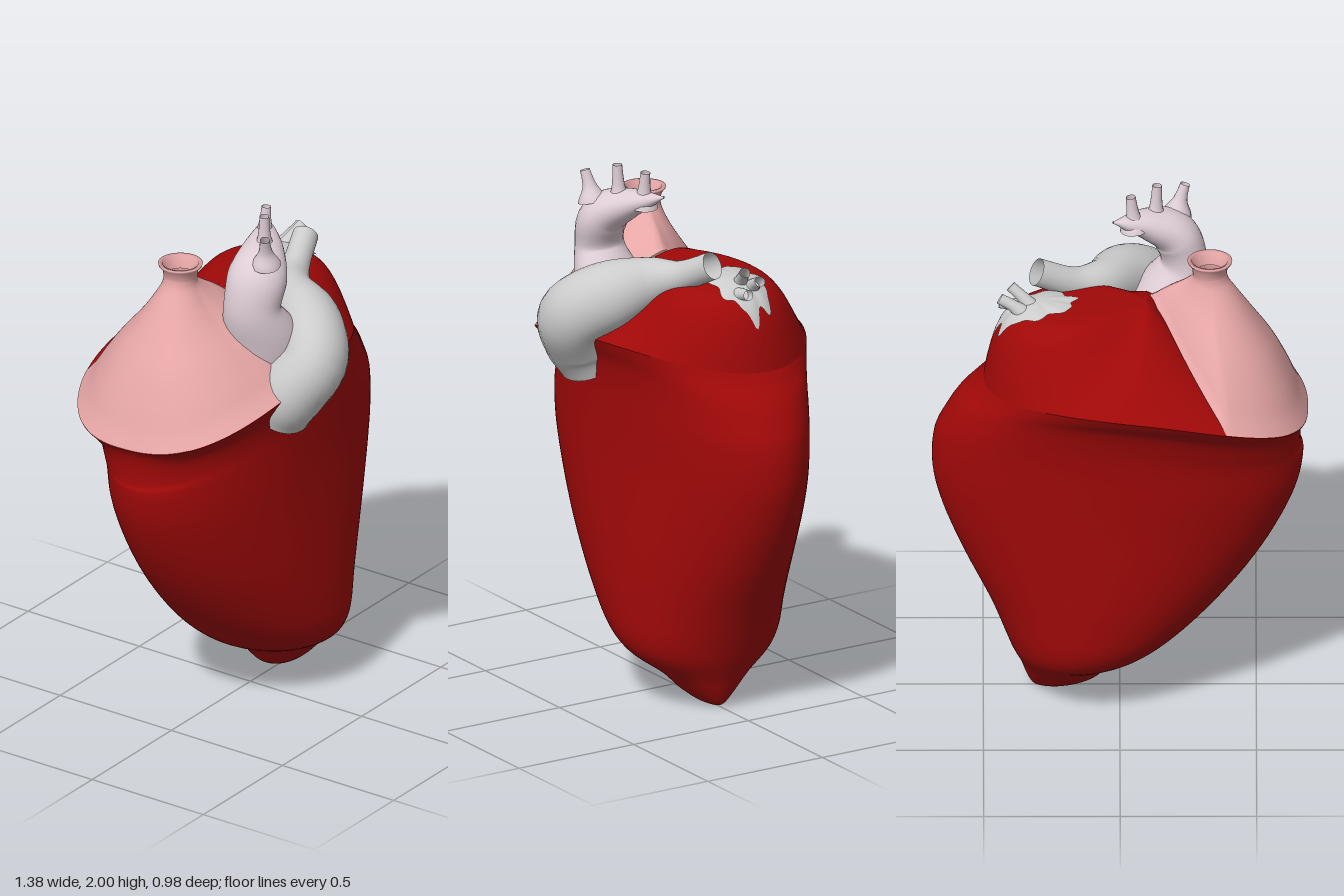
import * as THREE from 'three';

const V = (x, y, z) => new THREE.Vector3(x, y, z);
const lerp = THREE.MathUtils.lerp;
const SEG = 96;

const material = (color) => new THREE.MeshStandardMaterial({ color, side: THREE.DoubleSide, roughness: 0.7 });
const RED = material(0xa00808), PINK = material(0xe6a6a6), MAUVE = material(0xddccd4), GREY = material(0xcccccc);

// Surface through rows of points, each row a closed loop
function loft(rows) {
  const n = rows[0].length, index = [];
  for (let i = 0; i < rows.length - 1; i++) {
    for (let j = 0; j < n; j++) {
      const a = i * n + j, b = i * n + (j + 1) % n, c = a + n, d = b + n;
      index.push(a, c, b, b, c, d);
    }
  }
  const g = new THREE.BufferGeometry().setFromPoints(rows.flat());
  g.setIndex(index);
  g.computeVertexNormals();
  return g;
}

function part(name, geometry, mat) {
  const mesh = new THREE.Mesh(geometry, mat);
  mesh.name = name;
  return mesh;
}

// Tube along a smooth path, points given as [x, y, z, radius]
function vessel(name, pts, mat, { sides = 28, steps = 40, wide = 1 } = {}) {
  const path = new THREE.CatmullRomCurve3(pts.map((p) => V(p[0], p[1], p[2])));
  const radius = new THREE.SplineCurve(pts.map((p, i) => new THREE.Vector2(i, p[3])));
  const rows = [];
  for (let i = 0; i <= steps; i++) {
    const u = i / steps, p = path.getPoint(u), t = path.getTangent(u), r = radius.getPoint(u).y;
    const b = V(0.4, 0, 0.9).cross(t).normalize();
    const n = t.clone().cross(b).normalize();
    rows.push(Array.from({ length: sides }, (_, j) => {
      const a = (j / sides) * Math.PI * 2;
      return p.clone().addScaledVector(n, -Math.cos(a) * r * wide).addScaledVector(b, Math.sin(a) * r);
    }));
  }
  return part(name, loft(rows), mat);
}

// Tilted rim where the lower body meets the upper dome
const RIM = { x0: -0.69, x1: 0.5, zf: 0.36, zb: -0.49, cx: -0.1, cz: -0.07, blunt: 2.5 };
const rimY = (x, z) => 1.385 - 0.29 * (Math.min(x, 0.5) - 0.1) ** 2 + 0.05 * z;

// Cross-section: an ellipse whose right half can be blunter
function ringXZ(th, { x0, x1, zf, zb, cx, cz, blunt }) {
  const e = Math.cos(th) > 0 ? 1 : 2 / blunt;
  const c = Math.sign(Math.cos(th)) * Math.abs(Math.cos(th)) ** e;
  const s = Math.sign(Math.sin(th)) * Math.abs(Math.sin(th)) ** e;
  return [cx + c * (c > 0 ? x1 - cx : cx - x0), cz + s * (s > 0 ? zf - cz : cz - zb)];
}

// Height of the dome over a point, steep on the left side and sunk under the pink chamber
function domeY(x, z) {
  const dx = x - RIM.cx, dz = z - RIM.cz;
  const a = dx / (dx > 0 ? RIM.x1 - RIM.cx : RIM.cx - RIM.x0);
  const b = dz / (dz > 0 ? RIM.zf - RIM.cz : RIM.cz - RIM.zb);
  const n = a > 0 ? 2 : RIM.blunt;
  const s = Math.min(1, (Math.abs(a) ** n + Math.abs(b) ** n) ** (1 / n));
  const c = s > 0 ? a / s : 0, out = 1 / Math.max(s, 1e-6);
  const edge = rimY(lerp(RIM.cx, x, out), lerp(RIM.cz, z, out));
  const k = 1.65 + 13 * Math.max(0, c) ** 4 - 0.65 * Math.max(0, -c);
  const top = 1.645 - 0.05 * Math.max(0, a) ** 2;
  return edge + (top - edge) * (1 - s ** k) - 0.06 * Math.max(0, -c) * Math.sin(Math.PI * s);
}

function lowerBody() {
  // y, x min, x max, z front, z back, centre x, centre z, share of the rim's tilt, bluntness
  const rings = [
    [0, 0.215, 0.29, 0.008, -0.008, 0.25, 0, 0, 2],
    [0.012, 0.16, 0.318, 0.04, -0.04, 0.24, 0, 0, 2],
    [0.05, 0.08, 0.34, 0.09, -0.09, 0.22, 0, 0, 2],
    [0.12, 0.02, 0.365, 0.16, -0.17, 0.2, 0, 0, 2],
    [0.2, -0.13, 0.4, 0.26, -0.28, 0.15, -0.01, 0, 2],
    [0.27, -0.22, 0.425, 0.298, -0.32, 0.12, -0.02, 0, 2],
    [0.4, -0.35, 0.475, 0.312, -0.338, 0.07, -0.03, 0, 2],
    [0.6, -0.505, 0.57, 0.312, -0.35, 0, -0.04, 0, 2],
    [0.8, -0.615, 0.65, 0.305, -0.36, -0.06, -0.05, 0, 2],
    [0.96, -0.66, 0.686, 0.3, -0.372, -0.1, -0.05, 0.2, 2],
    [1.12, -0.672, 0.68, 0.299, -0.385, -0.1, -0.05, 0.5, 2],
    [1.22, -0.664, 0.648, 0.303, -0.402, -0.1, -0.06, 1, 2],
    [1.3, -0.664, 0.595, 0.318, -0.43, -0.1, -0.065, 1, 2.1],
    [1.35, -0.674, 0.535, 0.343, -0.468, -0.1, -0.07, 1, 2.3],
    [1.385, -0.69, 0.5, 0.36, -0.49, -0.1, -0.07, 1, 2.5],
  ];
  const columns = Array.from({ length: SEG }, (_, j) => {
    const th = (j / SEG) * Math.PI * 2;
    const pts = rings.map(([y, x0, x1, zf, zb, cx, cz, tilt, blunt]) => {
      const [x, z] = ringXZ(th, { x0, x1, zf, zb, cx, cz, blunt });
      return V(x, y + tilt * (rimY(x, z) - 1.385), z);
    });
    return new THREE.CatmullRomCurve3(pts).getPoints(70);
  });
  const rows = columns[0].map((_, i) => columns.map((c) => c[i]));
  rows.unshift(columns.map(() => V(0.25, 0, 0)));
  return part('lowerBody', loft(rows), RED);
}

function upperDome() {
  const rows = [];
  for (let i = 0; i <= 40; i++) {
    const s = (1 - i / 40) ** 0.7;
    rows.push(Array.from({ length: SEG }, (_, j) => {
      const [rx, rz] = ringXZ((j / SEG) * Math.PI * 2, RIM);
      const x = lerp(RIM.cx, rx, s), z = lerp(RIM.cz, rz, s);
      return V(x, domeY(x, z), z);
    }));
  }
  return part('upperDome', loft(rows), RED);
}

// Pink chamber: a sector of the rim drawn up into a flared, open neck
function rightChamber() {
  const base = [], from = 0.55 * Math.PI, to = 1.365 * Math.PI;
  for (let i = 0; i <= 50; i++) {
    const [x, z] = ringXZ(lerp(from, to, i / 50), RIM);
    base.push(V(x, rimY(x, z) + 0.003, z));
  }
  const first = base[0], last = base[50], inner = V(-0.11, 0, -0.02);
  const border = (a, b, start) => {
    for (let i = start; i < 16; i++) {
      const p = a.clone().lerp(b, i / 16);
      p.x += 0.02 * Math.sin((i / 16) * Math.PI);
      base.push(V(p.x, domeY(p.x, p.z) + 0.008, p.z));
    }
  };
  border(last, inner, 1);
  border(inner, first, 0);

  // share of the base radius, share of the height; away from the right side it narrows sooner
  const profile = new THREE.SplineCurve([[1, 0], [0.9, 0.11], [0.78, 0.27], [0.6, 0.47], [0.36, 0.68],
    [0.16, 0.85], [0.03, 0.96], [0, 1.02]].map((p) => new THREE.Vector2(...p)));
  const nx = -0.33, nz = -0.08;
  const rows = profile.getPoints(40).map((q) => base.map((p) => {
    const dx = p.x - nx, dz = p.z - nz, d = Math.hypot(dx, dz);
    const share = Math.max(0, q.x) ** (1.35 - 0.35 * Math.max(0, -dx / d));
    const r = lerp(0.062, d, share);
    return V(nx + (dx / d) * r, lerp(p.y, 1.76, q.y), nz + (dz / d) * r);
  }));
  for (const [r, y] of [[0.066, 1.795], [0.08, 1.812], [0.082, 1.82], [0.066, 1.82], [0.054, 1.77]]) {
    rows.push(base.map((p) => {
      const a = Math.atan2(p.z - nz, p.x - nx);
      return V(nx + Math.cos(a) * r, y, nz + Math.sin(a) * r);
    }));
  }
  return part('rightChamber', loft(rows), PINK);
}

// Lobed patch lying on the dome around the small veins
function veinPatch() {
  const rows = [];
  for (let i = 0; i <= 12; i++) {
    const t = 1 - i / 12;
    rows.push(Array.from({ length: 72 }, (_, j) => {
      const a = (j / 72) * Math.PI * 2;
      const r = t * (1 + 0.08 * Math.sin(7 * a) + 0.05 * Math.sin(11 * a + 1));
      const x = 0.31 + 0.145 * r * Math.cos(a), z = -0.075 + 0.1 * r * Math.sin(a);
      return V(x, domeY(x, z) + 0.01 + 0.02 * (1 - t * t), z);
    }));
  }
  return part('veinPatch', loft(rows), GREY);
}

export function createModel() {
  const heart = new THREE.Group();
  heart.name = 'heart';
  heart.add(lowerBody(), upperDome(), rightChamber());

  // Arched artery with three branches on top
  const aorta = new THREE.Group();
  aorta.name = 'aorta';
  aorta.add(vessel('aortaArch', [[-0.12, 1.4, 0.14, 0.14], [-0.18, 1.54, 0.17, 0.115], [-0.235, 1.67, 0.175, 0.083],
    [-0.2, 1.79, 0.175, 0.085], [-0.11, 1.85, 0.135, 0.06], [-0.03, 1.88, 0.09, 0.03], [0.025, 1.9, 0.06, 0.004]],
  MAUVE, { wide: 1.3 }));
  for (const [x, z, tx, tz, top] of [[-0.21, 0.22, -0.24, 0.235, 1.965], [-0.13, 0.155, -0.137, 0.16, 2], [-0.055, 0.1, -0.04, 0.1, 1.985]]) {
    aorta.add(vessel('aortaBranch', [[x, 1.85, z, 0.055], [lerp(x, tx, 0.4), 1.905, lerp(z, tz, 0.4), 0.027],
      [tx, top, tz, 0.018]], MAUVE, { sides: 14, steps: 14 }));
  }
  heart.add(aorta);

  // Broad grey artery sweeping from the front over to the left
  heart.add(vessel('pulmonaryArtery', [[-0.165, 1.245, 0.25, 0.125], [-0.165, 1.34, 0.295, 0.145], [-0.11, 1.46, 0.365, 0.135],
    [-0.01, 1.55, 0.27, 0.13], [0.07, 1.605, 0.14, 0.09], [0.17, 1.64, 0.08, 0.058], [0.305, 1.71, 0.03, 0.052]],
  GREY, { wide: 0.92 }));

  // Small veins rising from their patch
  const veins = new THREE.Group();
  veins.name = 'pulmonaryVeins';
  veins.add(veinPatch());
  for (const [x, z, tx, ty, tz] of [[0.29, -0.09, 0.4, 1.695, -0.05], [0.32, -0.11, 0.44, 1.665, -0.09], [0.34, -0.04, 0.44, 1.62, -0.04]]) {
    veins.add(vessel('vein', [[x, 1.575, z, 0.05], [lerp(x, tx, 0.5), lerp(1.6, ty, 0.5), lerp(z, tz, 0.5), 0.025],
      [tx, ty, tz, 0.02]], GREY, { sides: 14, steps: 12 }));
  }
  heart.add(veins);
  return heart;
}
